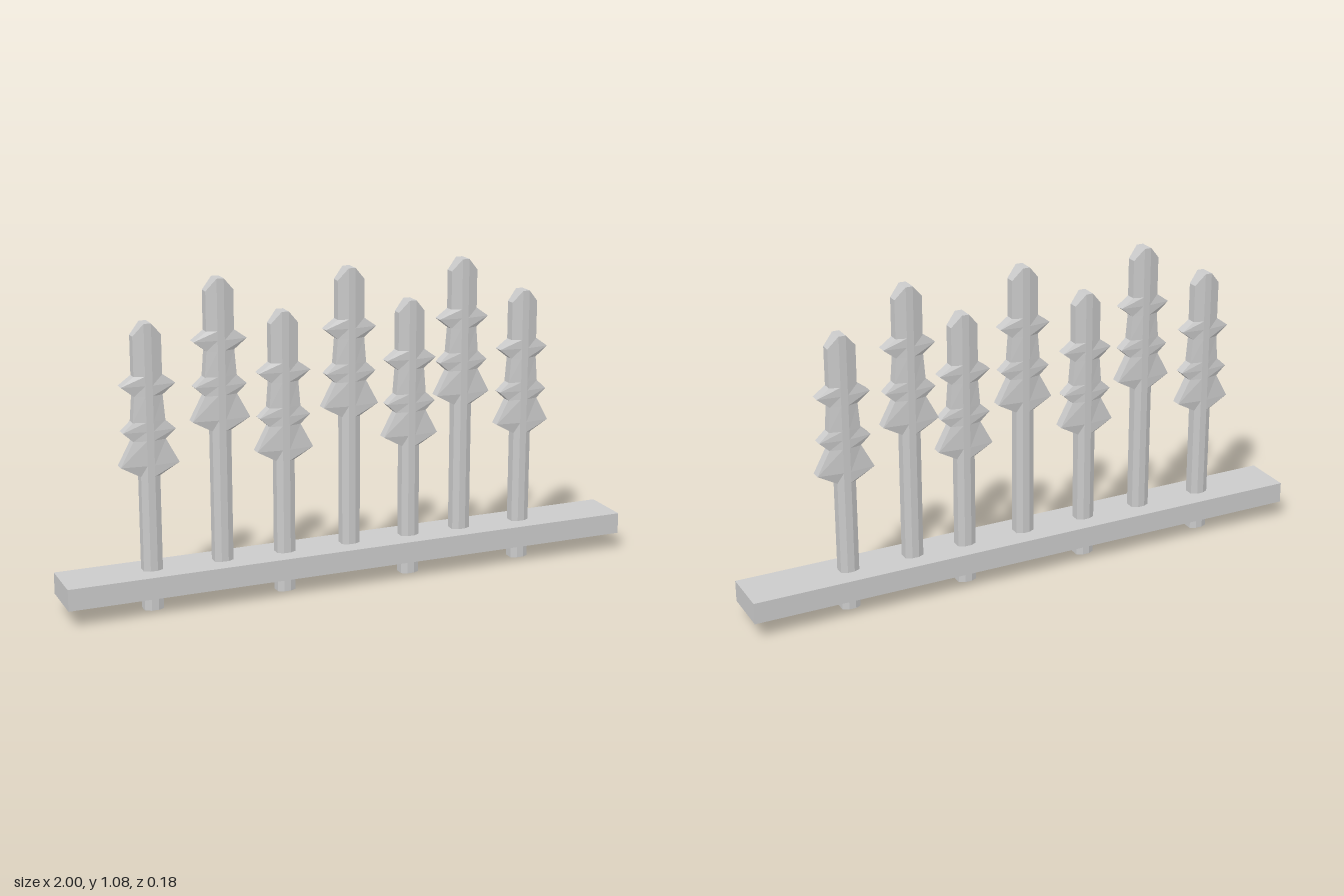
import * as THREE from 'three';

const material = new THREE.MeshStandardMaterial({ color: 0xcccccc, flatShading: true });
const FLAT = 0.012; // half width of the flat front face
const FRONT = 0.027; // half depth at the flat face
const EDGE = 0.017; // half depth at the side edges

// Barbed head: [half width, height below the tip], from stem to tip
const HEAD = [
  [0.032, 0.503], [0.098, 0.466], [0.054, 0.384], [0.088, 0.353], [0.054, 0.322],
  [0.047, 0.237], [0.09, 0.203], [0.047, 0.172], [0.047, 0.042], [FLAT, 0.002],
];

// Lofts an eight-sided section through rows of [half width, y]
function loft(rows) {
  const positions = [];
  const index = [];
  for (const [w, y] of rows) {
    const edge = w > FLAT ? EDGE : FRONT;
    const ring = [[w, edge], [w, -edge], [FLAT, -FRONT], [-FLAT, -FRONT],
      [-w, -edge], [-w, edge], [-FLAT, FRONT], [FLAT, FRONT]];
    for (const [x, z] of ring) positions.push(x, y, z);
  }
  for (let r = 0; r < rows.length - 1; r++) {
    for (let i = 0; i < 8; i++) {
      const a = r * 8 + i;
      const b = r * 8 + (i + 1) % 8;
      index.push(a, b, b + 8, a, b + 8, a + 8);
    }
  }
  // end caps
  const top = (rows.length - 1) * 8;
  for (let i = 1; i < 7; i++) {
    index.push(0, i + 1, i);
    index.push(top, top + i, top + i + 1);
  }
  const indexed = new THREE.BufferGeometry();
  indexed.setAttribute('position', new THREE.Float32BufferAttribute(positions, 3));
  indexed.setIndex(index);
  const geometry = indexed.toNonIndexed();
  geometry.computeVertexNormals();
  return geometry;
}

function picket(bottom, tip) {
  return loft([[0.032, bottom], ...HEAD.map(([w, d]) => [w, tip - d])]);
}

export function createModel() {
  const model = new THREE.Group();
  model.name = 'barbedFence';

  // Horizontal rail
  const rail = new THREE.Mesh(new THREE.BoxGeometry(2, 0.073, 0.176), material);
  rail.name = 'rail';
  rail.position.y = 0.0985;
  model.add(rail);

  // Short pickets pass through the rail; tall ones stand in it
  const short = picket(0, 0.958);
  const tall = picket(0.08, 1.083);
  [-0.696, -0.453, -0.234, 0, 0.219, 0.412, 0.642].forEach((x, i) => {
    const mesh = new THREE.Mesh(i % 2 ? tall : short, material);
    mesh.name = i % 2 ? 'tallPicket' : 'shortPicket';
    mesh.position.x = x;
    model.add(mesh);
  });
  return model;
}
